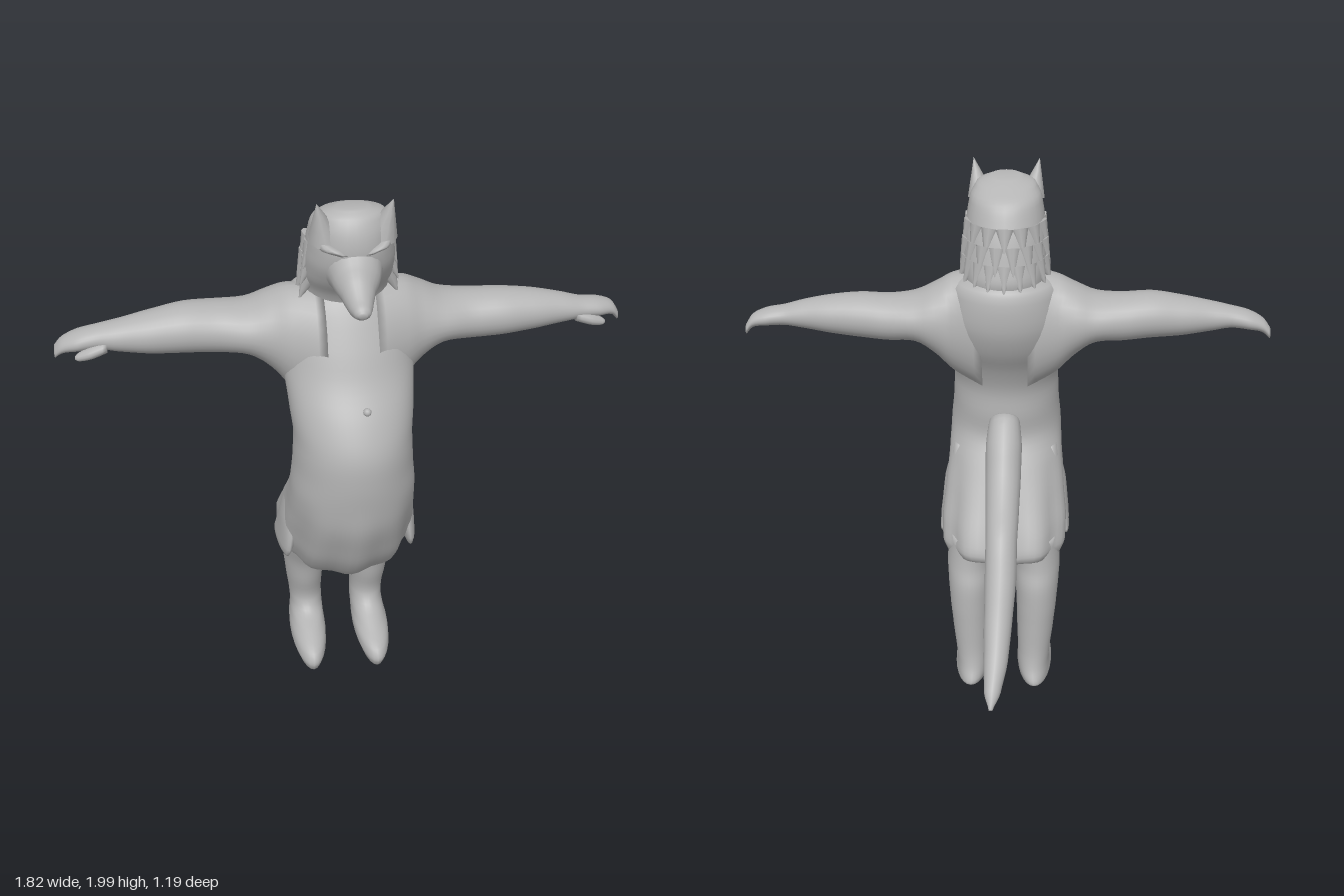
import * as THREE from 'three';

const fur = new THREE.MeshStandardMaterial({ color: 0xb4b4b4 });
fur.name = 'grey';

const X = new THREE.Vector3(1, 0, 0);
const Z = new THREE.Vector3(0, 0, 1);

// Smooth closed skin through elliptical rings. Each ring is
// [first edge point, opposite edge point, half width along "side"].
function loft(name, rings, side, { steps = 4, seg = 28, ripple = null } = {}) {
  const curve = (f) => new THREE.CatmullRomCurve3(rings.map(f), false, 'centripetal');
  const ca = curve((r) => new THREE.Vector3(...r[0]));
  const cb = curve((r) => new THREE.Vector3(...r[1]));
  const n = (rings.length - 1) * steps;
  const pos = [], idx = [];
  for (let i = 0; i <= n; i++) {
    const u = i / n;
    const a = ca.getPoint(u), b = cb.getPoint(u);
    const k = Math.min(Math.floor(i / steps), rings.length - 2), f = i / steps - k;
    const w = THREE.MathUtils.lerp(rings[k][2], rings[k + 1][2], f * f * (3 - 2 * f) * 0.4 + f * 0.6);
    const c = a.clone().add(b).multiplyScalar(0.5);
    const v = a.clone().sub(b).multiplyScalar(0.5);
    for (let j = 0; j < seg; j++) {
      const t = (j / seg) * Math.PI * 2;
      const s = ripple ? ripple(t, c.y) : 1;
      const p = c.clone().addScaledVector(v, Math.cos(t) * s).addScaledVector(side, w * Math.sin(t) * s);
      pos.push(p.x, p.y, p.z);
      if (i < n) {
        const j2 = (j + 1) % seg, p0 = i * seg + j, p1 = i * seg + j2;
        idx.push(p0, p1, p1 + seg, p0, p1 + seg, p0 + seg);
      }
    }
  }
  // End caps
  for (const [row, flip] of [[0, true], [n, false]]) {
    const c = ca.getPoint(row / n).add(cb.getPoint(row / n)).multiplyScalar(0.5);
    const ci = pos.length / 3;
    pos.push(c.x, c.y, c.z);
    for (let j = 0; j < seg; j++) {
      const p0 = row * seg + j, p1 = row * seg + (j + 1) % seg;
      idx.push(ci, flip ? p1 : p0, flip ? p0 : p1);
    }
  }
  // Turn the skin outward if its enclosed volume is negative
  const P = (i) => new THREE.Vector3(pos[3 * i], pos[3 * i + 1], pos[3 * i + 2]);
  let vol = 0;
  for (let i = 0; i < idx.length; i += 3) vol += P(idx[i]).dot(P(idx[i + 1]).cross(P(idx[i + 2])));
  if (vol < 0) idx.reverse();
  const g = new THREE.BufferGeometry();
  g.setAttribute('position', new THREE.Float32BufferAttribute(pos, 3));
  g.setIndex(idx);
  g.computeVertexNormals();
  const m = new THREE.Mesh(g, fur);
  m.name = name;
  return m;
}

// Ring with its front and back points given as z, y
const ring = (x, zf, yf, zb, yb, w) => [[x, yf, zf], [x, yb, zb], w];
// Ring across an arm: x, top, bottom, back z, front z
const armRing = (x, top, bot, zb, zf) =>
  [[x, top, (zb + zf) / 2], [x, bot, (zb + zf) / 2], (zf - zb) / 2];

// Pointed tuft between two points, flattened along its facing
function tuft(name, base, tip, w, d) {
  const a = new THREE.Vector3(...base), dir = new THREE.Vector3(...tip).sub(a);
  const g = new THREE.ConeGeometry(1, 1, 10, 3).translate(0, 0.5, 0);
  const m = new THREE.Mesh(g, fur);
  m.scale.set(w, dir.length(), d);
  m.quaternion.setFromUnitVectors(new THREE.Vector3(0, 1, 0), dir.normalize());
  m.position.copy(a);
  m.name = name;
  return m;
}

export function createModel() {
  const model = new THREE.Group();
  model.name = 'standingFox';

  // Coat: arched belly, skirt flaring back to a slanted hem
  const folds = (t, y) => 1 + 0.03 * THREE.MathUtils.smoothstep(1.05 - y, 0, 0.4) * Math.cos(10 * t);
  model.add(loft('coat', [
    ring(0, 0.30, 1.67, 0.13, 1.66, 0.09),
    ring(0, 0.35, 1.62, 0.09, 1.62, 0.18),
    ring(0, 0.42, 1.5, 0.08, 1.5, 0.21),
    ring(0, 0.47, 1.4, 0.11, 1.4, 0.21),
    ring(0, 0.54, 1.3, 0.165, 1.3, 0.20),
    ring(0, 0.587, 1.2, 0.2, 1.2, 0.19),
    ring(0, 0.595, 1.1, 0.2, 1.1, 0.195),
    ring(0, 0.588, 1.0, 0.2, 1.0, 0.205),
    ring(0, 0.575, 0.9, 0.12, 0.91, 0.212),
    ring(0, 0.54, 0.8, 0.03, 0.81, 0.222),
    ring(0, 0.495, 0.7, -0.045, 0.72, 0.232),
    ring(0, 0.42, 0.6, -0.075, 0.66, 0.23),
    ring(0, 0.34, 0.535, -0.06, 0.63, 0.21),
    ring(0, 0.27, 0.505, -0.02, 0.62, 0.17),
  ], X, { seg: 60, ripple: folds }));
  const button = new THREE.Mesh(new THREE.SphereGeometry(0.013, 12, 8), fur);
  button.name = 'button';
  button.position.set(0.025, 1.34, 0.515);
  model.add(button);

  // Arms: rings of x, top, bottom, back z, front z
  const leftArm = [
    [0.08, 1.65, 1.2, 0.13, 0.42], [0.18, 1.645, 1.29, 0.1, 0.37], [0.24, 1.615, 1.36, 0.1, 0.345],
    [0.31, 1.58, 1.41, 0.11, 0.33], [0.4, 1.57, 1.41, 0.125, 0.31], [0.5, 1.57, 1.415, 0.14, 0.31],
    [0.6, 1.56, 1.425, 0.155, 0.30], [0.7, 1.54, 1.44, 0.175, 0.285], [0.77, 1.52, 1.45, 0.185, 0.275],
    [0.83, 1.51, 1.45, 0.18, 0.27], [0.88, 1.49, 1.445, 0.185, 0.25], [0.905, 1.455, 1.42, 0.19, 0.235],
  ];
  const lift = [0, 0, 0.005, 0.01, 0.02, 0.025, 0.02, 0.02, 0.025, 0.02, 0.015, 0.02];
  for (const s of [1, -1]) {
    const rows = leftArm.map(([x, t, b, zb, zf], i) => {
      const d = s < 0 ? lift[i] : 0;
      return armRing(s * x * (s < 0 ? 1.01 : 1), t + d, b + d * 0.8, zb - d * 0.5, zf - d * 0.3);
    });
    const side = s > 0 ? 'left' : 'right';
    model.add(loft(side + 'Arm', rows, Z));
    const d = s < 0 ? 0.02 : 0;
    model.add(loft(side + 'Thumb', [
      armRing(s * 0.75, 1.49 + d, 1.45 + d, 0.23, 0.28),
      armRing(s * 0.8, 1.475 + d, 1.435 + d, 0.24, 0.285),
      armRing(s * 0.84, 1.455 + d, 1.43 + d, 0.25, 0.275),
      armRing(s * 0.85, 1.445 + d, 1.435 + d, 0.257, 0.267),
    ], Z, { seg: 12 }));

    // Legs, running into long feet with a raised heel
    const y0 = s > 0 ? 0 : 0.012;
    const lx = (x) => s * x;
    model.add(loft(side + 'Leg', [
      ring(lx(0.11), 0.25, 0.68, -0.01, 0.68, 0.09),
      ring(lx(0.125), 0.21, 0.56, -0.02, 0.57, 0.085),
      ring(lx(0.125), 0.18, 0.49, -0.04, 0.5, 0.082),
      ring(lx(0.125), 0.14, 0.4, -0.047, 0.41, 0.075),
      ring(lx(0.122), 0.12, 0.3, -0.05, 0.31, 0.069),
      ring(lx(0.118), 0.1, 0.2, -0.056, 0.2, 0.061),
      ring(lx(0.116), 0.125, 0.155, -0.07, 0.14, 0.06),
      ring(lx(0.118), 0.21, 0.115 + y0, -0.09, 0.1, 0.062),
      ring(lx(0.12), 0.295, 0.08 + y0, -0.093, 0.088, 0.066),
      ring(lx(0.121), 0.315, 0.045 + y0, -0.09, 0.08, 0.066),
      ring(lx(0.121), 0.3, 0.008 + y0, -0.08, 0.076, 0.056),
    ], X));

    // Coat side flap with a pointed corner
    model.add(loft(side + 'Flap', [
      [[s * 0.17, 0.95, 0.33], [s * 0.17, 0.95, 0.25], 0.02],
      [[s * 0.195, 0.8, 0.37], [s * 0.2, 0.8, 0.21], 0.03],
      [[s * 0.21, 0.69, 0.38], [s * 0.222, 0.67, 0.16], 0.025],
      [[s * 0.215, 0.65, 0.36], [s * 0.232, 0.635, 0.15], 0.018],
    ], X, { seg: 20 }));
  }

  // Tail: rings of z, y, radius, sloping down behind
  const tail = [
    [0.22, 1.06, 0.05, 0], [0.17, 1.1, 0.058, 0], [0.1, 1.04, 0.068, 0], [0.02, 0.95, 0.066, 0],
    [-0.08, 0.875, 0.062, 0], [-0.18, 0.815, 0.058, 0], [-0.26, 0.715, 0.058, 0], [-0.35, 0.605, 0.052, 0.005],
    [-0.45, 0.505, 0.044, 0.01], [-0.54, 0.445, 0.03, 0.018], [-0.592, 0.412, 0.007, 0.022],
  ];
  model.add(loft('tail', tail.map(([z, y, r, x], i) => {
    const p = tail[Math.max(i - 1, 0)], q = tail[Math.min(i + 1, tail.length - 1)];
    const l = Math.hypot(q[0] - p[0], q[1] - p[1]);
    const nz = i < 2 ? -0.5 : (q[1] - p[1]) / l, ny = i < 2 ? 0.87 : -(q[0] - p[0]) / l;
    return ring(x, z + nz * r, y + ny * r, z - nz * r, y - ny * r, r * 0.95);
  }), X, { seg: 20 }));

  // Head: skull, snout and nose
  const head = new THREE.Group();
  head.name = 'head';
  head.add(loft('skull', [
    ring(0, 0.32, 1.58, 0.13, 1.58, 0.13),
    ring(0, 0.355, 1.66, 0.105, 1.65, 0.135),
    ring(0, 0.40, 1.72, 0.12, 1.71, 0.142),
    ring(0, 0.435, 1.78, 0.14, 1.78, 0.14),
    ring(0, 0.445, 1.84, 0.165, 1.84, 0.132),
    ring(0, 0.435, 1.9, 0.2, 1.9, 0.122),
    ring(0, 0.41, 1.945, 0.26, 1.935, 0.1),
    ring(0, 0.38, 1.965, 0.31, 1.958, 0.05),
  ], X));
  head.add(loft('snout', [
    ring(0, 0.36, 1.9, 0.34, 1.67, 0.10),
    ring(0, 0.445, 1.845, 0.42, 1.69, 0.075),
    ring(0, 0.485, 1.785, 0.465, 1.68, 0.05),
    ring(0, 0.525, 1.75, 0.505, 1.677, 0.037),
    ring(0, 0.552, 1.735, 0.545, 1.69, 0.026),
    ring(0, 0.564, 1.72, 0.56, 1.702, 0.012),
  ], X, { seg: 20 }));
  for (const s of [1, -1]) {
    head.add(tuft('ear', [s * 0.088, 1.88, 0.365], [s * 0.112, 2.0, 0.4], 0.045, 0.06));
    head.add(loft('brow', [
      ring(s * 0.035, 0.45, 1.85, 0.4, 1.82, 0.012),
      ring(s * 0.07, 0.442, 1.865, 0.38, 1.84, 0.03),
      ring(s * 0.105, 0.4, 1.885, 0.35, 1.86, 0.012),
    ], X, { seg: 12 }));
  }

  // Ruff: rows of fur points hanging round the cheeks and nape
  for (const [y, r, n, len] of [[1.83, 0.125, 9, 0.09], [1.77, 0.132, 10, 0.09], [1.71, 0.135, 11, 0.085]]) {
    const zc = 0.28 - (1.83 - y) * 0.2;
    for (let i = 0; i < n; i++) {
      const a = (i / (n - 1) - 0.5) * Math.PI * 1.15;
      const sx = Math.sin(a), cz = -Math.cos(a);
      head.add(tuft('ruffTuft', [sx * r * 0.9, y, zc + cz * r * 0.85],
        [sx * (r + 0.025), y - len, zc + cz * (r + 0.025)], 0.032, 0.028));
    }
  }
  model.add(head);
  return model;
}
